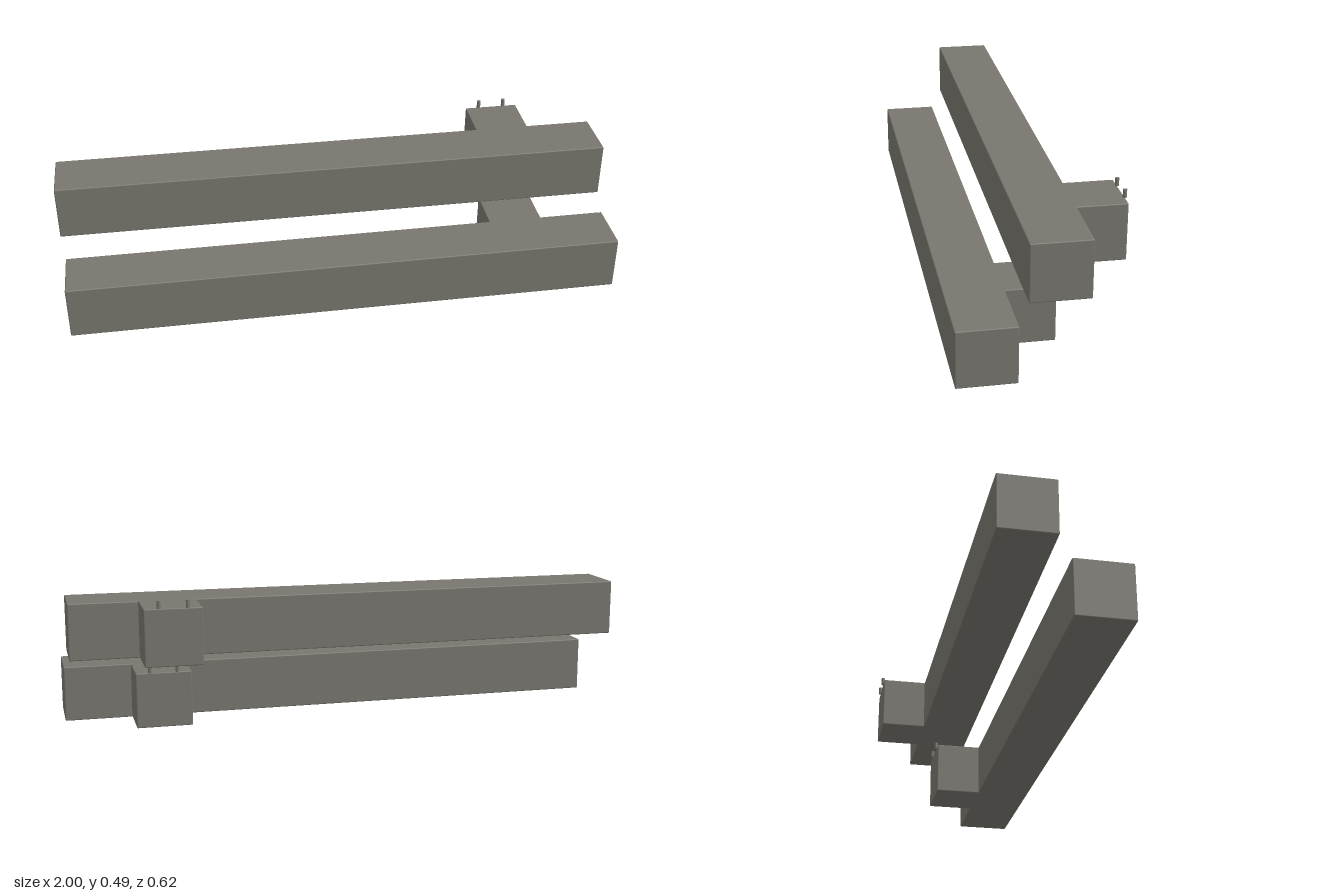
import * as THREE from 'three';
import { RoundedBoxGeometry } from 'three/addons/geometries/RoundedBoxGeometry.js';

const SIZE = 0.197; // bar thickness
const LENGTH = 1.992;

// One long bar with a block behind it and two small pins on the block's rear edge
function makeBar(name, material, bottom, z, angle) {
  const bar = new THREE.Group();
  bar.name = name;
  const add = (partName, geometry, x, y, pz) => {
    const mesh = new THREE.Mesh(geometry, material);
    mesh.name = partName;
    mesh.position.set(x, y, pz);
    bar.add(mesh);
  };

  add('beam', new RoundedBoxGeometry(LENGTH, SIZE, SIZE, 2, 0.004), 0, SIZE / 2, 0);
  add('rearBlock', new RoundedBoxGeometry(SIZE, SIZE, SIZE, 2, 0.004), 0.66, SIZE / 2, -0.1675);
  for (const side of [-1, 1]) {
    add('pin', new THREE.CylinderGeometry(0.0068, 0.0068, 0.027, 16),
      0.66 + side * 0.048, SIZE + 0.0135, -0.266);
  }

  bar.position.set(0, bottom, z);
  bar.rotation.y = -THREE.MathUtils.degToRad(angle);
  return bar;
}

export function createModel() {
  const model = new THREE.Group();
  model.name = 'stackedBars';
  const gray = new THREE.MeshStandardMaterial({ color: 0x78766e });
  gray.name = 'warm gray';

  model.add(makeBar('lowerBar', gray, 0.002, 0.162, 2.8));
  model.add(makeBar('upperBar', gray, 0.268, -0.0695, 3.05));
  return model;
}
